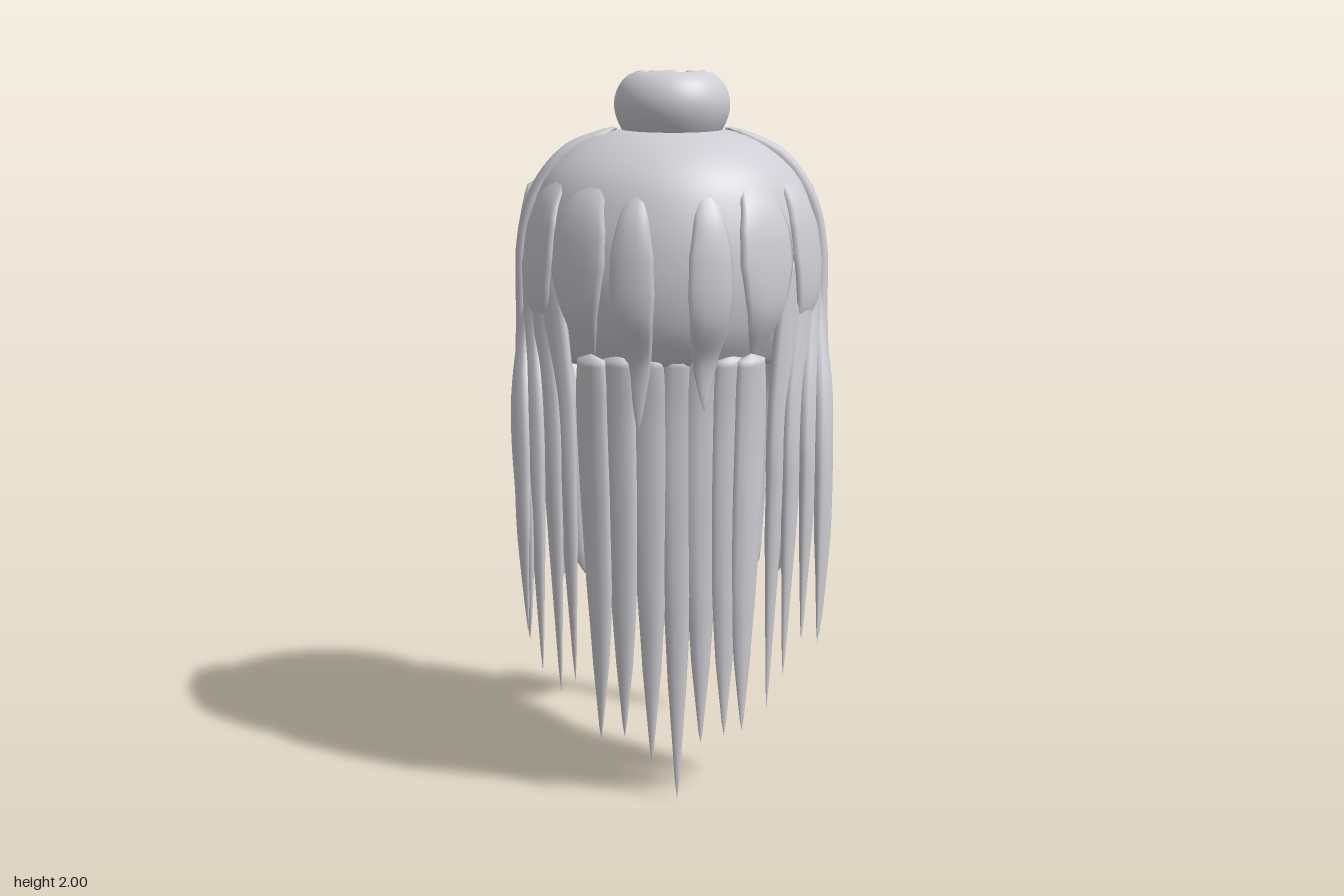
import * as THREE from 'three';

const hair = new THREE.MeshStandardMaterial({ color: 0xcdcdd3, side: THREE.DoubleSide });
hair.name = 'pale grey hair';
const V = (x, y, z) => new THREE.Vector3(x, y, z);
const rad = THREE.MathUtils.degToRad;
const smooth = THREE.MathUtils.smoothstep;

// Grid surface from fn(i, j); wrap joins the last column to the first
function grid(rows, cols, wrap, fn) {
  const pos = [], index = [], n = wrap ? cols : cols + 1;
  for (let i = 0; i <= rows; i++) for (let j = 0; j < n; j++) pos.push(...fn(i / rows, j / cols).toArray());
  for (let i = 0; i < rows; i++) for (let j = 0; j < cols; j++) {
    const k = (j + 1) % n, a = i * n + j, b = i * n + k, c = a + n, d = b + n;
    index.push(a, c, b, b, c, d);
  }
  const g = new THREE.BufferGeometry();
  g.setAttribute('position', new THREE.Float32BufferAttribute(pos, 3));
  g.setIndex(index);
  g.computeVertexNormals();
  return g;
}

// Linear lookup in an evenly spaced list
function sample(list, t) {
  const s = t * (list.length - 1), i = Math.min(Math.floor(s), list.length - 2);
  return list[i] + (list[i + 1] - list[i]) * (s - i);
}

const curve = pts => new THREE.CatmullRomCurve3(pts.map(([r, y]) => V(r, y, 0)));
const skull = curve([[0, 1.84], [0.15, 1.835], [0.25, 1.79], [0.33, 1.71], [0.372, 1.6],
  [0.388, 1.5], [0.388, 1.4], [0.368, 1.3], [0.32, 1.21]]);

// Point on the head: t runs from crown to nape, deg is the angle from +z towards +x
function onHead(t, deg, lift = 0) {
  const p = skull.getPoint(t), a = rad(deg), y = p.y + lift * Math.max(0, (p.y - 1.4) / 0.44);
  const r = Math.max(0, p.x + lift * Math.min(1, p.x / 0.3));
  return V(1.07 * r * Math.sin(a), y, r * Math.cos(a));
}

// Flat tapered lock with closed ends, swept along a path and facing away from the head
function lock(points, width, thick, profile, steps = 36) {
  const path = new THREE.CatmullRomCurve3(points);
  return grid(steps, 10, true, (t, u) => {
    const p = path.getPoint(t), tan = path.getTangent(t), a = u * Math.PI * 2;
    const out = V(p.x, Math.max(0, p.y - 1.4), p.z);
    out.addScaledVector(tan, -out.dot(tan)).normalize();
    const side = V(0, 0, 0).crossVectors(tan, out);
    const k = sample(profile, t) * Math.min(1, Math.sqrt(Math.min(t, 1 - t) * 36));
    return p.addScaledVector(side, Math.cos(a) * width * k / 2)
      .addScaledVector(out, Math.sin(a) * thick * Math.min(1, k * 1.4) / 2);
  });
}

export function createModel() {
  const model = new THREE.Group();
  const add = (name, geometry) => {
    const m = new THREE.Mesh(geometry, hair);
    m.name = name;
    model.add(m);
    return m;
  };

  // Hollow cap, cut away over the face: outer skin to the rim, then back to the crown inside
  add('cap', grid(56, 90, true, (v, u) => {
    const deg = u * 360, a = Math.min(deg, 360 - deg);
    const end = 1 - 0.5 * smooth(a, 88, 118) - 0.36 * smooth(a, 116, 128);
    const inner = v > 0.5 ? -0.03 * Math.min(1, (v - 0.5) * 14) : 0;
    return onHead(end * (1 - Math.abs(2 * v - 1)), deg, inner);
  }));

  // Pleated fringe
  const fringe = curve([[0.08, 1.85], [0.15, 1.843], [0.24, 1.81], [0.32, 1.75], [0.399, 1.672]]);
  add('fringe', grid(32, 208, false, (v, u) => {
    const s = 1 - Math.abs(2 * v - 1), p = fringe.getPoint(s), a = rad(112 + 136 * u);
    const edge = Math.abs(2 * u - 1);
    const rib = 0.0035 * s * Math.cos(u * Math.PI * 52);
    const r = p.x * (1 - 0.06 * s * edge * edge) + rib;
    const y = p.y - 0.035 * s * edge * edge + rib - (v > 0.5 ? 0.022 * Math.min(1, (v - 0.5) * 12) : 0);
    return V(1.03 * r * Math.sin(a), y, r * Math.cos(a));
  }));

  // Bun with a hollow top
  const bunProfile = [[0, 1.745], [0.07, 1.765], [0.12, 1.81], [0.15, 1.86], [0.16, 1.905], [0.152, 1.945],
    [0.132, 1.975], [0.105, 1.992], [0.085, 1.985], [0.076, 1.96], [0.06, 1.95], [0, 1.95]];
  const bunCurve = new THREE.SplineCurve(bunProfile.map(([x, y]) => new THREE.Vector2(x, y)));
  const bunPoints = bunCurve.getPoints(44).map(p => p.setX(Math.max(0, p.x)));
  add('bun', new THREE.LatheGeometry(bunPoints, 48)).position.z = 0.03;

  // Swirled ends around the bun's hollow
  for (let i = 0; i < 5; i++) {
    const pts = [];
    for (let k = 0; k <= 4; k++) {
      const a = rad(i * 72 + k * 21), r = 0.112 - 0.007 * k;
      pts.push(V(r * Math.sin(a), 1.976 + 0.003 * k, r * Math.cos(a) + 0.03));
    }
    add('bunSwirl', lock(pts, 0.04, 0.024, [0.2, 0.8, 1, 1, 0.7], 12));
  }

  // Pointed tufts lying over the cap: angle, start, tip height, width
  const tufts = [[-17, 0.34, 1.05, 0.125], [13, 0.34, 1.1, 0.125], [-40, 0.31, 1.2, 0.19],
    [37, 0.31, 1.2, 0.19], [-65, 0.29, 1.2, 0.19], [63, 0.29, 1.2, 0.19]];
  for (const [deg, start, tip, width] of tufts) {
    const pts = [0, 0.25, 0.5, 0.75, 1].map(s => onHead(start + (0.97 - start) * s, deg * (1 - 0.06 * s), 0.012 * s * s - 0.004));
    if (tip < 1.2) pts.push(V(pts[4].x, tip, pts[4].z));
    add('tuft', lock(pts, width, 0.032, [0.15, 0.65, 0.95, 1, 0.8, 0.5, 0.08]));
  }

  // Hanging back strands: x, tip height
  const strands = [[-0.405, 0.48], [-0.365, 0.36], [-0.315, 0.3], [-0.275, 0.33], [-0.205, 0.17], [-0.14, 0.18],
    [-0.065, 0.11], [0.005, 0], [0.07, 0.16], [0.135, 0.18], [0.185, 0.19], [0.255, 0.25], [0.3, 0.34],
    [0.35, 0.44], [0.395, 0.43]];
  for (const [x, tip] of strands) {
    const z = 0.3 - 0.5 * x * x, m = Math.sign(x), f = (Math.abs(x) - 0.24) / 0.16;
    const mix = (a, b) => a + (b - a) * f;
    const pts = f < 0
      ? [V(x * 1.1, 1.25, z + 0.01), V(x * 1.1, 1.1, z), V(x * 1.06, 0.85, z), V(x, 0.5, z), V(x, tip, z)]
      : [onHead(0.62, m * mix(48, 88), -0.012), onHead(0.8, m * mix(46, 82), -0.005),
        V(m * mix(0.275, 0.415), 1.13, mix(0.27, 0.19)), V(m * mix(0.26, 0.41), 0.9, mix(0.28, 0.24)),
        V(x, tip, 0.26)];
    add('backStrand', lock(pts, 0.105, 0.045, [0.85, 1, 1, 0.95, 0.8, 0.5, 0.05]));
  }

  const bandProfile = [0.4, 0.75, 1, 1, 1, 0.9, 0.8, 0.5];
  for (const s of [-1, 1]) {
    const side = pts => pts.map(p => V(p.x * s, p.y, p.z));
    // Bands combed from the bun over the ear: one sweeps to the back, one to the face
    add('sideBand', lock(side([onHead(0.12, 86, 0.005), onHead(0.3, 88), onHead(0.45, 90),
      onHead(0.6, 90), V(0.415, 1.35, 0.02), V(0.415, 1.19, 0.09), V(0.412, 1.03, 0.19), V(0.408, 0.75, 0.235),
      V(0.4, 0.45, 0.25)]), 0.14, 0.045, [0.4, 0.75, 1, 1, 1, 0.9, 0.75, 0.6, 0.1], 44));
    add('sideBand', lock(side([onHead(0.12, 97, 0.005), onHead(0.3, 99), onHead(0.45, 101, 0.005),
      onHead(0.6, 101, 0.005), V(0.413, 1.36, -0.075), V(0.4, 1.22, -0.135), V(0.365, 1.1, -0.25), V(0.335, 0.95, -0.315)]),
    0.14, 0.045, bandProfile, 40));
    add('sideBand', lock(side([onHead(0.12, 107, 0.005), onHead(0.28, 110, 0.008), onHead(0.42, 113, 0.012),
      onHead(0.56, 114, 0.01), onHead(0.7, 114, 0.01)]), 0.15, 0.04, [0.3, 0.7, 1, 1, 0.7]));

    // Long lock beside the face, with a narrower one along its edge
    add('faceLock', lock(side([V(0.375, 1.7, -0.16), V(0.4, 1.55, -0.165), V(0.41, 1.36, -0.16),
      V(0.395, 1.24, -0.205), V(0.365, 1.13, -0.285), V(0.345, 1.0, -0.315), V(0.335, 0.75, -0.325),
      V(0.325, 0.475, -0.325)]), 0.15, 0.045, [0.75, 1, 1, 1, 0.9, 0.75, 0.65, 0.55], 44));
    add('faceLockEdge', lock(side([V(0.335, 1.7, -0.21), V(0.37, 1.55, -0.21), V(0.385, 1.36, -0.215),
      V(0.36, 1.25, -0.265), V(0.32, 1.12, -0.335), V(0.285, 0.98, -0.35), V(0.27, 0.75, -0.355),
      V(0.255, 0.48, -0.35)]), 0.08, 0.045, [0.7, 0.9, 1, 1, 1, 0.9, 0.8, 0.7], 44));
  }
  return model;
}
